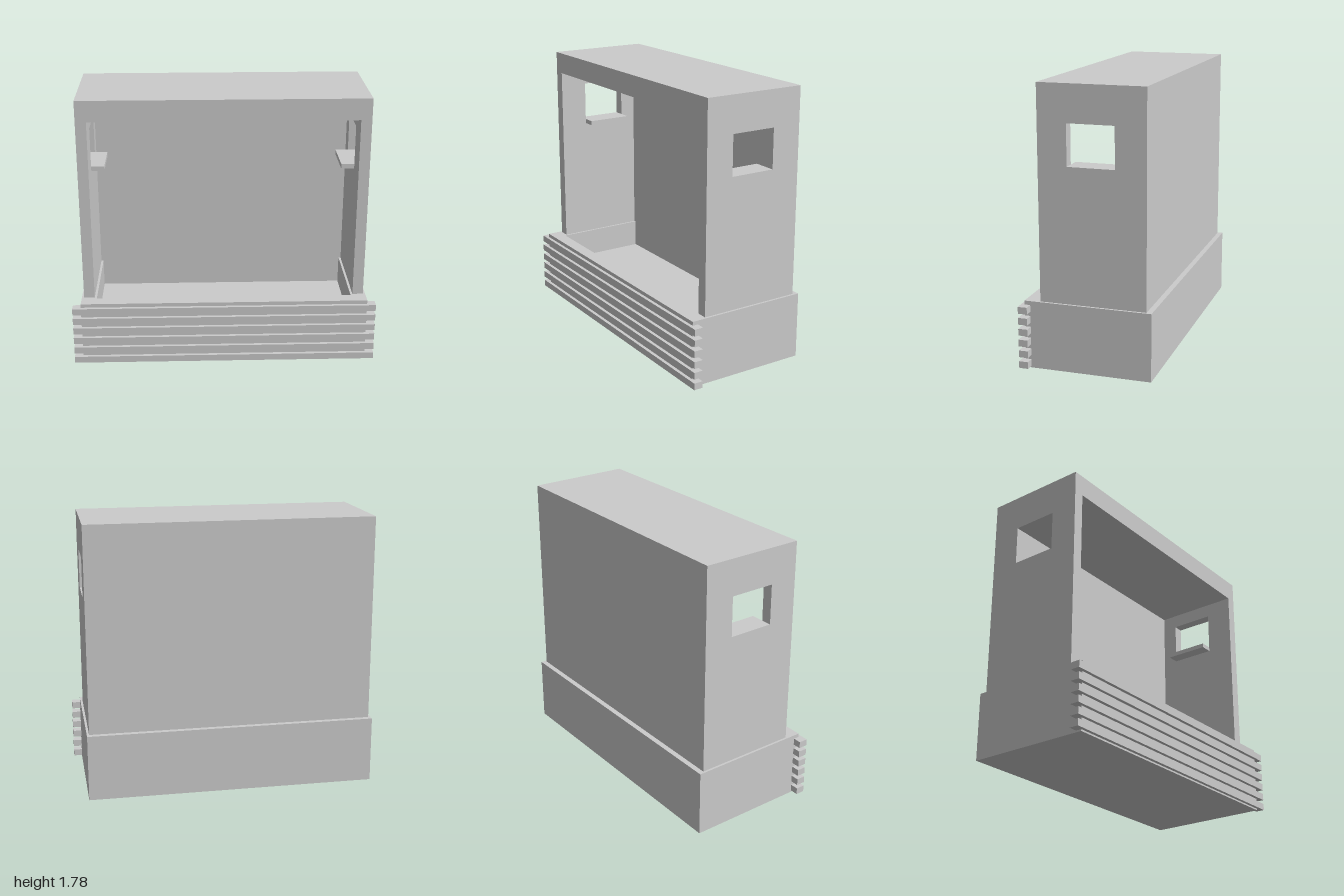
import * as THREE from 'three';

const material = new THREE.MeshStandardMaterial({ color: 0xcccccc, flatShading: true });

function add(group, name, geometry) {
  const mesh = new THREE.Mesh(geometry, material);
  mesh.name = name;
  group.add(mesh);
  return mesh;
}

// Box given by its limits on each axis
function box(group, name, [x0, x1], [y0, y1], [z0, z1]) {
  const mesh = add(group, name, new THREE.BoxGeometry(x1 - x0, y1 - y0, z1 - z0));
  mesh.position.set((x0 + x1) / 2, (y0 + y1) / 2, (z0 + z1) / 2);
  return mesh;
}

function rect(Type, x0, x1, y0, y1) {
  return new Type([[x0, y0], [x1, y0], [x1, y1], [x0, y1]].map(p => new THREE.Vector2(...p)));
}

// Rectangular plate with a rectangular opening
function framePlate(outer, hole, depth) {
  const shape = rect(THREE.Shape, ...outer);
  shape.holes.push(rect(THREE.Path, ...hole));
  return new THREE.ExtrudeGeometry(shape, { depth, bevelEnabled: false });
}

export function createModel() {
  const model = new THREE.Group();
  model.name = 'windowedCabinet';
  const baseTop = 0.435, floorY = 0.25, top = 1.785, ceiling = 1.645;
  const outerX = 0.93, innerX = 0.86;
  const frontZ = 0.295, backZ = -0.385, innerBackZ = -0.295;

  // Base: solid floor with a raised rim around the recess
  box(model, 'baseFloor', [-0.945, 0.945], [0, floorY], [-0.42, 0.395]);
  const rim = framePlate([-0.945, 0.945, -0.395, 0.42], [-0.845, 0.845, -0.31, -innerBackZ], baseTop - floorY);
  rim.rotateX(-Math.PI / 2);
  add(model, 'baseRim', rim).position.y = floorY;

  // Horizontal slats across the front of the base
  for (let i = 0; i < 6; i++) {
    const y = 0.033 + i * 0.071;
    box(model, 'frontSlat', [-1, 1], [y - 0.022, y + 0.022], [0.357, 0.417]);
  }

  // Side walls with a window, and a small shelf under each window inside
  const wall = framePlate([-frontZ, -backZ, baseTop, top], [-0.11, 0.19, 1.29, 1.55], outerX - innerX);
  wall.rotateY(Math.PI / 2);
  add(model, 'leftWall', wall).position.x = innerX;
  add(model, 'rightWall', wall).position.x = -outerX;
  box(model, 'leftShelf', [0.775, innerX], [1.26, 1.29], [-0.19, 0.11]);
  box(model, 'rightShelf', [-innerX, -0.775], [1.26, 1.29], [-0.19, 0.11]);

  // Back wall and roof between the side walls
  box(model, 'backWall', [-innerX, innerX], [baseTop, ceiling], [backZ, innerBackZ]);
  box(model, 'roof', [-innerX, innerX], [ceiling, top], [backZ, frontZ]);

  return model;
}
